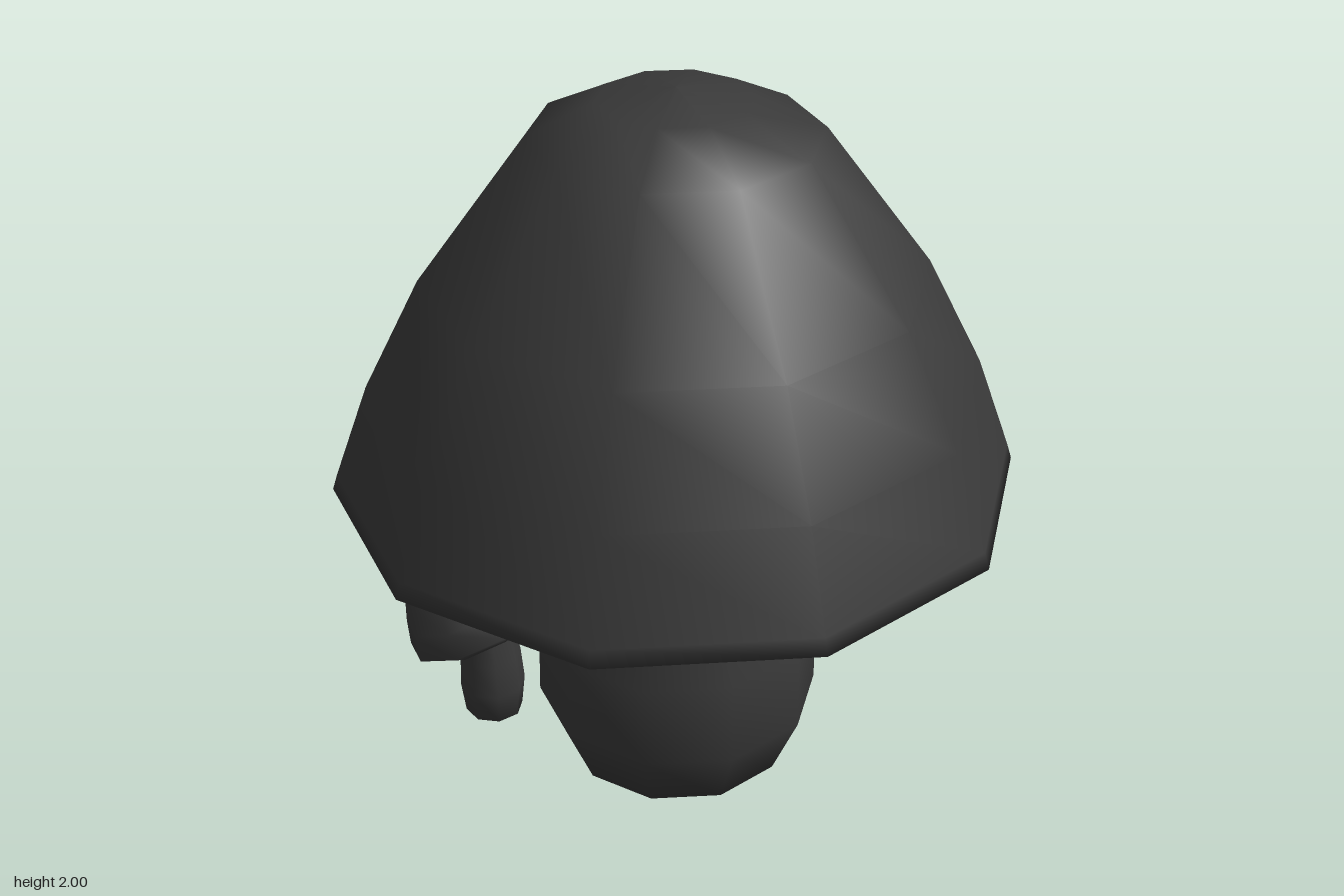
import * as THREE from 'three';

const material = new THREE.MeshStandardMaterial({ color: 0x393939, side: THREE.DoubleSide });

// Smooth-shaded lathe with a corner on the x axis; points run from bottom to top on the outside
function lathe(name, points, sides) {
  const profile = points.map(([r, y]) => new THREE.Vector2(r, y));
  const mesh = new THREE.Mesh(new THREE.LatheGeometry(profile, sides, Math.PI / 2), material);
  mesh.name = name;
  return mesh;
}

export function createModel() {
  const model = new THREE.Group();
  model.name = 'mushrooms';

  // Large mushroom: hollowed cap over a bulging stem
  const large = new THREE.Group();
  large.name = 'largeMushroom';
  const cap = lathe('largeCap', [
    [0, 1], [0.3, 0.98], [0.71, 0.89], [0.76, 0.845], [0.917, 0.895], [0.903, 0.94],
    [0.81, 1.2], [0.66, 1.5], [0.38, 1.88], [0.2, 1.97], [0, 2],
  ], 10);
  cap.rotation.y = 0.012;
  const stem = lathe('largeStem', [
    [0, 0], [0.315, 0], [0.393, 0.18], [0.39, 0.42], [0.27, 0.85], [0.225, 1.01],
  ], 10);
  stem.position.set(-0.012, 0, -0.028);
  large.add(cap, stem);

  // Small mushroom: cap leaning outwards and forwards on a slightly bent stem
  const small = new THREE.Group();
  small.name = 'smallMushroom';
  const smallCap = lathe('smallCap', [
    [0, 0.03], [0.18, -0.005], [0.21, -0.025], [0.245, 0], [0.22, 0.07],
    [0.185, 0.145], [0.14, 0.2], [0.07, 0.245], [0, 0.26],
  ], 10);
  smallCap.position.set(-0.543, 0.347, 0.16);
  smallCap.rotation.set(THREE.MathUtils.degToRad(10), 0, THREE.MathUtils.degToRad(25));

  const smallStem = lathe('smallStem', [
    [0, 0.01], [0.083, 0.01], [0.094, 0.1], [0.088, 0.2], [0.066, 0.32], [0.06, 0.4],
  ], 8);
  // Bend the upper stem towards the leaning cap
  const pos = smallStem.geometry.attributes.position;
  for (let i = 0; i < pos.count; i++) {
    pos.setX(i, pos.getX(i) - 0.13 * pos.getY(i) ** 2);
  }
  smallStem.geometry.computeVertexNormals();
  smallStem.position.set(-0.53, 0, 0.158);
  small.add(smallCap, smallStem);

  model.add(large, small);
  return model;
}
